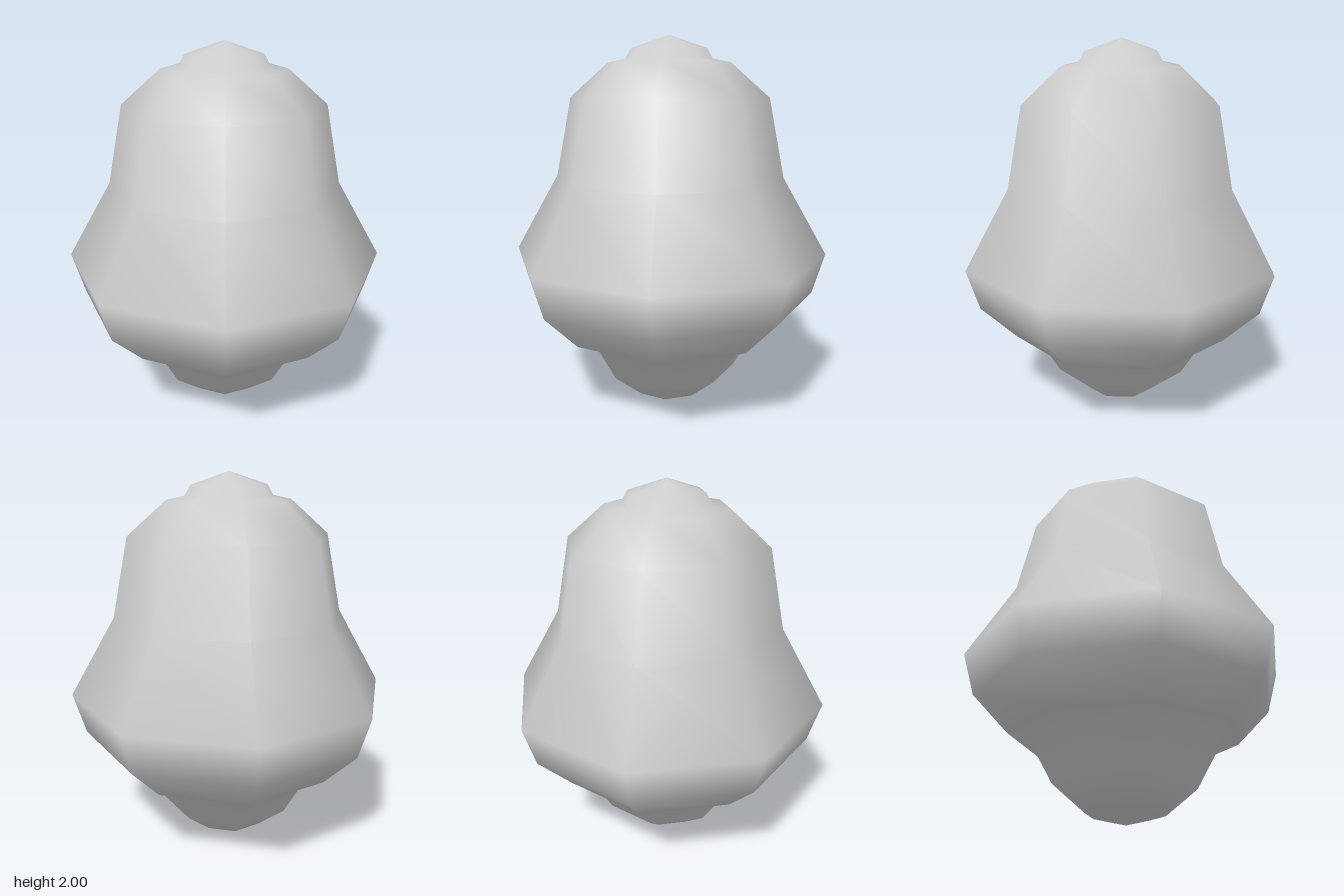
import * as THREE from 'three';

// Eight-sided, smooth-shaded bell form turned around the vertical axis
export function createModel() {
  const group = new THREE.Group();
  group.name = 'bell';

  const profile = [
    // rounded clapper bulge at the bottom
    [0, 0], [0.2, 0.05], [0.37, 0.19], [0.475, 0.375],
    // flared lip
    [0.605, 0.435], [0.79, 0.625], [0.855, 0.845],
    // waist and shoulder
    [0.615, 1.26], [0.53, 1.68], [0.325, 1.86],
    // small crown cap
    [0.23, 1.88], [0.2, 1.933], [0, 2],
  ].map(([r, y]) => new THREE.Vector2(r, y));

  const body = new THREE.Mesh(
    new THREE.LatheGeometry(profile, 8),
    new THREE.MeshStandardMaterial({ color: 0xcccccc })
  );
  body.name = 'bellBody';
  group.add(body);
  return group;
}
